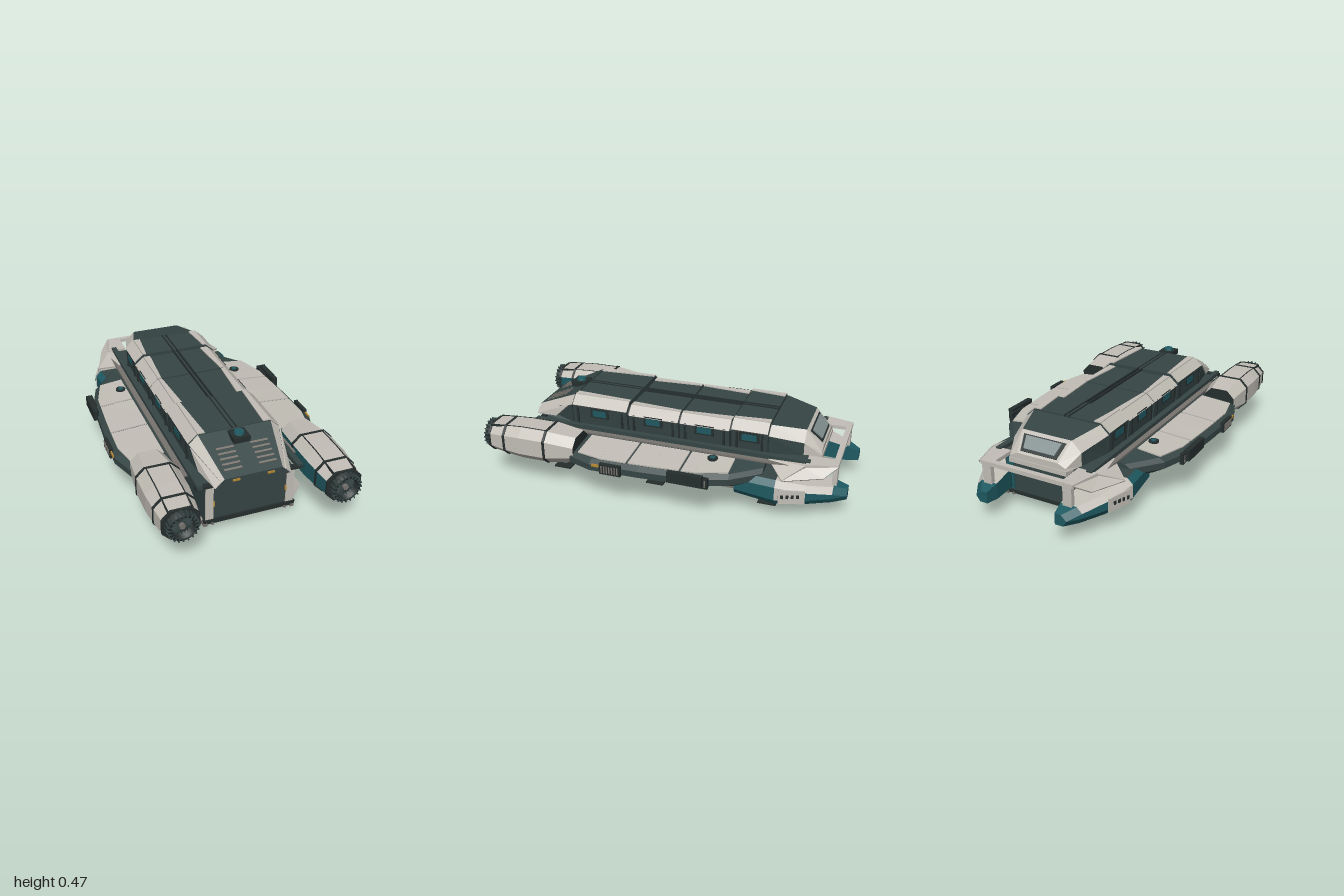
import * as THREE from 'three';

const mat = (name, hex) => {
  const m = new THREE.MeshStandardMaterial({ color: hex });
  m.name = name;
  return m;
};

export function createModel() {
  const LIGHT = mat('pale panel', 0xc3bfb7), DARK = mat('dark hull', 0x364545), TEAL = mat('teal', 0x1f5a62);
  const TRIM = mat('black trim', 0x262e2e), METAL = mat('grey metal', 0x77736e);
  const AMBER = mat('amber', 0xb98a35), GLASS = mat('window glass', 0x82908f);
  const root = new THREE.Group();

  // ---- helpers ----
  const add = (name, geo, m) => {
    const g = geo.index ? geo.toNonIndexed() : geo;
    if (!Array.isArray(m)) g.clearGroups();
    const mesh = new THREE.Mesh(g, m);
    mesh.name = name;
    root.add(mesh);
    return mesh;
  };
  // adds a mirrored copy across x = 0, with corner order corrected
  const both = (mesh) => {
    const g = mesh.geometry.clone().scale(-1, 1, 1);
    for (const key of ['position', 'normal']) {
      const a = g.attributes[key];
      for (let i = 0; i < a.count; i += 3) for (const k of ['X', 'Y', 'Z']) {
        const t = a['get' + k](i + 1);
        a['set' + k](i + 1, a['get' + k](i + 2));
        a['set' + k](i + 2, t);
      }
    }
    const copy = add(mesh.name, g, mesh.material);
    mesh.name += 'Left';
    copy.name += 'Right';
  };
  // faceted skin through rings of corners; mats has one material for each side, ends use the last
  const loft = (name, rings, mats) => {
    const pos = [], geo = new THREE.BufferGeometry(), n = rings[0].length;
    const list = Array.isArray(mats) ? mats : [mats];
    const tri = (...p) => p.forEach((q) => pos.push(...q));
    for (let j = 0; j < n; j++) {
      const start = pos.length / 3, k = (j + 1) % n;
      for (let i = 0; i + 1 < rings.length; i++) {
        const A = rings[i], B = rings[i + 1];
        tri(A[j], A[k], B[k], A[j], B[k], B[j]);
      }
      geo.addGroup(start, pos.length / 3 - start, Math.min(j, list.length - 1));
    }
    const start = pos.length / 3, A = rings[0], B = rings[rings.length - 1];
    for (let j = 1; j + 1 < n; j++) {
      tri(A[0], A[j + 1], A[j]);
      tri(B[0], B[j], B[j + 1]);
    }
    geo.addGroup(start, pos.length / 3 - start, list.length - 1);
    geo.setAttribute('position', new THREE.Float32BufferAttribute(pos, 3));
    geo.computeVertexNormals();
    return add(name, geo, mats);
  };
  const ring = (pts, z) => pts.map(([x, y]) => [x, y, z]);
  const sym = (pts, z) => ring([...pts, ...pts.map(([x, y]) => [-x, y]).reverse()], z);
  // thin slab standing on four corners, counter-clockwise from outside
  const plate = (name, m, q, t = 0.006) => {
    const v = q.map((p) => new THREE.Vector3(...p));
    const nrm = v[2].clone().sub(v[0]).cross(v[3].clone().sub(v[1])).normalize().multiplyScalar(t);
    return loft(name, [q, v.map((p) => p.add(nrm).toArray())], m);
  };
  const box = (name, m, w, h, d, x, y, z) => add(name, new THREE.BoxGeometry(w, h, d).translate(x, y, z), m);
  const bar = (name, m, a, b, r, sides = 6) => {
    const A = new THREE.Vector3(...a), B = new THREE.Vector3(...b), d = B.clone().sub(A);
    const q = new THREE.Quaternion().setFromUnitVectors(new THREE.Vector3(0, 1, 0), d.clone().normalize());
    const c = A.add(B).multiplyScalar(0.5);
    return add(name, new THREE.CylinderGeometry(r, r, d.length(), sides).applyQuaternion(q).translate(c.x, c.y, c.z), m);
  };

  // ---- lower hull and keel ----
  const low = [[0.235, 0.08], [0.245, 0.29]];
  loft('lowerHull', [sym(low, -0.78), sym(low, 0.785)], DARK);
  box('keelPlate', TRIM, 0.48, 0.02, 1.57, 0, 0.07, 0);
  both(box('hullRail', DARK, 0.03, 0.025, 1.59, 0.27, 0.3, -0.005));
  both(box('railFlange', METAL, 0.06, 0.01, 1.4, 0.285, 0.285, -0.05));
  both(bar('keelRail', METAL, [0.2, 0.06, -0.79], [0.2, 0.06, 0.79], 0.008));
  both(box('keelEdge', METAL, 0.02, 0.018, 1.58, 0.24, 0.062, 0));
  for (let i = 0; i < 8; i++) bar('keelRib', METAL, [-0.23, 0.06, -0.74 + i * 0.21], [0.23, 0.06, -0.74 + i * 0.21], 0.006);
  const bays = [-0.77, -0.55, -0.25, 0.04, 0.33, 0.62, 0.78];
  bays.slice(0, -1).forEach((z, i) => {
    const a = z + 0.012, b = bays[i + 1] - 0.012;
    both(plate('lowerSidePanel', LIGHT, [[0.245, 0.085, b], [0.245, 0.085, a], [0.285, 0.17, a], [0.285, 0.17, b]], 0.008));
    both(bar('sideFrame', TRIM, [0.25, 0.08, z], [0.3, 0.18, z], 0.009));
  });
  for (const z of [0.57, 0.28, -0.06, -0.35]) both(box('lowerWindow', TEAL, 0.008, 0.035, 0.06, 0.3, 0.165, z));
  // front and rear doors
  both(box('doorPost', LIGHT, 0.042, 0.19, 0.01, 0.22, 0.19, 0.787));
  both(box('doorLamp', AMBER, 0.008, 0.03, 0.006, 0.196, 0.185, 0.79));
  box('doorSill', TRIM, 0.5, 0.018, 0.02, 0, 0.085, 0.785);
  box('frontLintel', TRIM, 0.58, 0.014, 0.03, 0, 0.293, 0.775);
  both(bar('frontBrace', METAL, [0.25, 0.085, 0.72], [0.34, 0.14, 0.6], 0.005));
  both(box('rearPost', TEAL, 0.04, 0.18, 0.01, 0.21, 0.18, -0.783));

  // ---- upper hull modules ----
  const up = (h) => [[0.24, 0.3], [0.25, h - 0.045], [0.2, h]];
  const core = [[0.235, 0.3], [0.24, 0.4], [0.195, 0.435]];
  loft('upperCore', [sym(core, -0.57), sym(core, 0.57)], TRIM);
  const cuts = [-0.57, -0.36, -0.07, 0.23, 0.57], tops = [0.456, 0.442, 0.442, 0.458];
  tops.forEach((h, i) => {
    const a = cuts[i] + 0.006, b = cuts[i + 1] - 0.006, m = (a + b) / 2, s = i < 2 ? 0.02 : 0;
    loft('upperModule', [sym(up(h), a), sym(up(h), b)], DARK);
    both(plate('shoulderPanel', LIGHT, [[0.25, h - 0.045, b], [0.25, h - 0.045, a], [0.2, h, a], [0.2, h, b]]));
    both(plate('roofPanel', LIGHT, [[0.16 + s, h, b], [0.2, h, b], [0.2, h, a], [0.18 - s, h, a]]));
    both(box('upperWindowFrame', TRIM, 0.008, 0.055, 0.11, 0.248, 0.38, m));
    both(box('upperWindow', TEAL, 0.008, 0.036, 0.08, 0.251, 0.38, m));
    for (const e of [a + 0.03, b - 0.03]) both(box('sideRib', TRIM, 0.01, 0.1, 0.012, 0.247, 0.355, e));
  });
  both(box('roofSpine', TRIM, 0.008, 0.012, 1.14, 0.012, 0.455, 0));

  // ---- sloping front of the upper hull ----
  const nose = [[[0.24, 0.3], [0.25, 0.413], [0.2, 0.458]], [[0.2, 0.3], [0.17, 0.33], [0.155, 0.345]]];
  loft('frontSlope', [sym(nose[0], 0.57), sym(nose[1], 0.82)], [DARK, LIGHT, DARK, LIGHT, DARK]);
  both(plate('frontCornerPanel', LIGHT, [[0.2, 0.3, 0.82], [0.235, 0.32, 0.68], [0.245, 0.405, 0.59], [0.17, 0.33, 0.82]]));
  const slopeY = (z) => 0.458 - (z - 0.57) * 0.452;
  for (let i = 0; i < 5; i++) {
    const z = 0.66 + i * 0.028;
    both(plate('louvre', METAL, [[0.045, slopeY(z + 0.01), z + 0.01], [0.14, slopeY(z + 0.01), z + 0.01], [0.14, slopeY(z), z], [0.045, slopeY(z), z]]));
  }
  both(box('headLamp', AMBER, 0.038, 0.012, 0.008, 0.093, 0.33, 0.82));
  box('sensorBase', TRIM, 0.09, 0.03, 0.09, 0, 0.445, 0.625);
  add('sensorDome', new THREE.CylinderGeometry(0.025, 0.032, 0.03, 10).translate(0, 0.46, 0.625), TEAL);

  // ---- cockpit ----
  const cab = [[[0.24, 0.3], [0.25, 0.405], [0.2, 0.45]], [[0.2, 0.3], [0.2, 0.37], [0.145, 0.425]], [[0.17, 0.3], [0.165, 0.315], [0.12, 0.335]]];
  loft('cockpitRoof', [sym(cab[1], -0.75), sym(cab[0], -0.57)], [DARK, LIGHT, DARK, LIGHT, DARK]);
  loft('cockpitFace', [sym(cab[2], -0.84), sym(cab[1], -0.75)], LIGHT);
  plate('windscreenFrame', TRIM, [[-0.125, 0.409, -0.764], [0.125, 0.409, -0.764], [0.105, 0.345, -0.83], [-0.105, 0.345, -0.83]], 0.004);
  plate('windscreen', GLASS, [[-0.105, 0.406, -0.772], [0.105, 0.406, -0.772], [0.09, 0.358, -0.823], [-0.09, 0.358, -0.823]], 0.007);
  box('cockpitShelf', LIGHT, 0.34, 0.025, 0.1, 0, 0.29, -0.795);

  // ---- side sponsons ----
  const plan = [[-0.57, 0.37], [-0.42, 0.49], [-0.25, 0.545], [0.05, 0.565], [0.32, 0.573], [0.46, 0.525]];
  const outer = (z) => {
    const i = Math.min(4, Math.max(0, plan.findIndex((p) => p[0] >= z) - 1));
    const [a, b] = [plan[i], plan[i + 1]];
    return a[1] + (b[1] - a[1]) * (z - a[0]) / (b[0] - a[0]);
  };
  both(loft('sponson', plan.map(([z, x]) => ring([[0.27, 0.17], [x - 0.07, 0.17], [x, 0.21], [x, 0.245], [x - 0.03, 0.265], [0.27, 0.285]], z)), DARK));
  const decks = [-0.42, -0.25, -0.17, -0.02, 0.12, 0.27, 0.42];
  for (let i = 0; i < 6; i++) {
    const a = decks[i] + (i % 2 ? 0 : 0.006), b = decks[i + 1] - (i % 2 ? 0.006 : 0);
    const xa = outer(a) - 0.03, xb = outer(b) - 0.03;
    both(plate('deckPanel', LIGHT, [[0.33, 0.281, b], [xb, 0.266, b], [xa, 0.266, a], [0.33, 0.281, a]], 0.007));
  }
  both(add('deckHatch', new THREE.CylinderGeometry(0.028, 0.028, 0.014, 14).translate(0.365, 0.285, -0.3), TRIM));
  both(add('hatchLens', new THREE.CylinderGeometry(0.015, 0.015, 0.02, 10).translate(0.365, 0.285, -0.3), TEAL));
  for (const z of [0.2, -0.27]) {
    both(box('sideVent', TRIM, 0.02, 0.06, 0.12, outer(z) + 0.004, 0.235, z));
    for (let i = 0; i < 7; i++) both(box('ventSlat', METAL, 0.008, 0.04, 0.007, outer(z) + 0.014, 0.235, z - 0.045 + i * 0.015));
  }
  both(box('dockingClamp', TRIM, 0.03, 0.06, 0.19, 0.56, 0.25, -0.21));
  both(box('sideLamp', AMBER, 0.008, 0.014, 0.05, 0.575, 0.245, 0.28));

  // ---- engines ----
  const oct = (w, h, z) => {
    const c = 0.045, p = [[w - c, -h], [w, c - h], [w, h - c], [w - c, h]];
    return ring([...p, ...p.map(([x, y]) => [-x, y]).reverse()].map(([x, y]) => [0.428 + x, 0.26 + y]), z);
  };
  const skin = [LIGHT, LIGHT, LIGHT, LIGHT, LIGHT, TEAL, TEAL, TEAL, TRIM];
  const rows = [[0.44, 0.094, 0.075], [0.61, 0.112, 0.094], [0.76, 0.112, 0.094], [0.86, 0.104, 0.088], [0.955, 0.092, 0.08]];
  both(loft('engineCowl', rows.map(([z, w, h]) => oct(w, h, z)), skin));
  for (const [z, w, h] of [rows[1], rows[3], rows[4]]) both(loft('engineBand', [oct(w + 0.003, h + 0.003, z - 0.008), oct(w + 0.003, h + 0.003, z + 0.006)], TRIM));
  for (const x of [-0.06, 0.06]) both(loft('cowlSeam', [rows[1], rows[2], rows[4]].map(([z, , h]) => ring([[0.425 + x, 0.25 + h], [0.431 + x, 0.25 + h], [0.431 + x, 0.262 + h], [0.425 + x, 0.262 + h]], z)), TRIM));
  const cup = [[0, 0], [0.05, 0], [0.06, 0.045], [0.074, 0.045], [0.08, 0]].map(([x, y]) => new THREE.Vector2(x, y)).reverse();
  const bell = new THREE.LatheGeometry(cup.reverse(), 20);
  const nozzle = add('nozzle', bell.rotateX(Math.PI / 2).translate(0.428, 0.26, 0.95), TRIM);
  nozzle.material = TRIM;
  TRIM.side = THREE.DoubleSide;
  both(nozzle);
  for (let i = 0; i < 20; i++) {
    const t = i * Math.PI / 10;
    const fin = new THREE.BoxGeometry(0.02, 0.007, 0.045).translate(0.07, 0, 0).rotateZ(t).translate(0.428, 0.26, 0.977);
    both(add('nozzleFin', fin, DARK));
    const vane = new THREE.BoxGeometry(0.04, 0.004, 0.012).translate(0.036, 0, 0).rotateZ(t).translate(0.428, 0.26, 0.965);
    both(add('turbineVane', vane, DARK));
  }
  both(add('nozzleHub', new THREE.CylinderGeometry(0.015, 0.015, 0.04, 12).rotateX(Math.PI / 2).translate(0.428, 0.26, 0.965), METAL));

  // ---- rear pods and bridge ----
  const pod = (a, b, y0, y1, z) => ring([[a, y0], [b - 0.02, y0], [b, y0 + 0.03], [b, y1 - 0.03], [b - 0.03, y1], [a, y1]], z);
  const tip = pod(0.19, 0.31, 0.1, 0.185, -0.93), mid = pod(0.2, 0.375, 0.1, 0.205, -0.8);
  const wide = pod(0.24, 0.43, 0.105, 0.24, -0.65), end = pod(0.26, 0.41, 0.12, 0.24, -0.43);
  both(loft('podTip', [pod(0.2, 0.265, 0.105, 0.165, -1), tip], TEAL));
  both(loft('podArm', [tip, mid], [TRIM, TEAL, TEAL, LIGHT, LIGHT, TEAL]));
  both(loft('podBody', [mid, wide], [TRIM, TEAL, LIGHT, LIGHT, LIGHT, TEAL]));
  both(loft('podRoot', [wide, end], [TRIM, TEAL, TEAL, TEAL, DARK, TEAL]));
  both(plate('podSidePanel', LIGHT, [[0.423, 0.12, -0.67], [0.375, 0.115, -0.8], [0.375, 0.19, -0.8], [0.423, 0.2, -0.67]], 0.008));
  for (let i = 0; i < 4; i++) {
    const z = -0.69 - i * 0.026, x = 0.375 + (z + 0.8) * 0.37;
    both(box('podPort', TRIM, 0.02, 0.018, 0.014, x + 0.003, 0.16, z));
  }
  // pale shoulders reaching from the hull to the bridge
  both(plate('shoulderTop', LIGHT, [[0.2, 0.285, -0.78], [0.31, 0.285, -0.78], [0.27, 0.285, -0.945], [0.2, 0.285, -0.945]], 0.02));
  both(plate('shoulderSide', LIGHT, [[0.31, 0.285, -0.78], [0.4, 0.235, -0.68], [0.33, 0.25, -0.88], [0.27, 0.295, -0.945]], 0.009));
  both(plate('shoulderRoot', LIGHT, [[0.28, 0.285, -0.58], [0.4, 0.235, -0.68], [0.31, 0.29, -0.78], [0.27, 0.29, -0.78]], 0.009));
  both(box('bridgeStrut', LIGHT, 0.05, 0.12, 0.025, 0.235, 0.235, -0.93));
  box('bridgeBar', LIGHT, 0.44, 0.022, 0.03, 0, 0.295, -0.93);

  // ---- landing legs ----
  for (const z of [0.65, 0.07, -0.58]) {
    both(bar('legStrut', METAL, [0.2, 0.07, z + 0.015], [0.228, 0.01, z], 0.011));
    both(bar('legBrace', TRIM, [0.25, 0.07, z - 0.01], [0.228, 0.012, z], 0.007));
    both(box('footPad', TRIM, 0.085, 0.01, 0.1, 0.227, 0.005, z));
  }
  return root;
}
